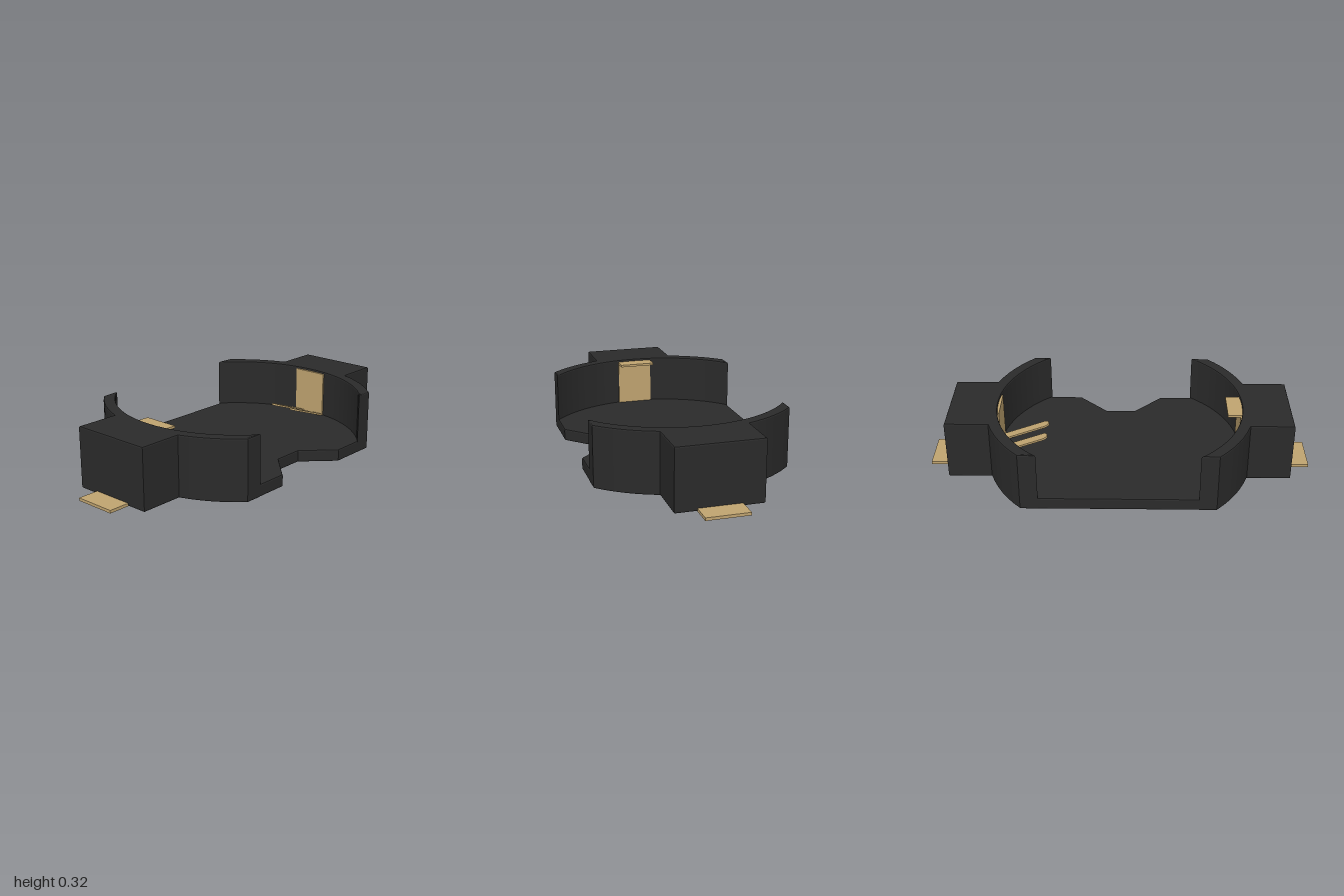
import * as THREE from 'three';

const HEIGHT = 0.32, FLOOR = 0.065, HALF = 0.5, R_IN = 0.64, R_OUT = 0.7;
const BOX_X = 0.89, BOX_Z = 0.22, BEVEL = 0.008;

const plastic = new THREE.MeshStandardMaterial({ color: 0x2a2a2a });
const brass = new THREE.MeshStandardMaterial({ color: 0xc0a470 });

// Points on a circle, listed from z = z0 to z = z1 on the +x side
function arc(r, z0, z1, n) {
  const a0 = Math.asin(z0 / r), a1 = Math.asin(z1 / r), pts = [];
  for (let i = 0; i <= n; i++) {
    const a = a0 + (a1 - a0) * i / n;
    pts.push(new THREE.Vector2(r * Math.cos(a), r * Math.sin(a)));
  }
  return pts;
}

// Raises a plan outline, drawn as (x, z), into a slab with softened edges
function slab(points, height) {
  const flipped = points.map(p => new THREE.Vector2(p.x, -p.y));
  const g = new THREE.ExtrudeGeometry(new THREE.Shape(flipped), {
    depth: height - 2 * BEVEL, bevelEnabled: true, bevelThickness: BEVEL,
    bevelSize: BEVEL, bevelOffset: -BEVEL, bevelSegments: 2,
  });
  g.rotateX(-Math.PI / 2);
  g.translate(0, BEVEL, 0);
  return g;
}

function add(parent, name, geometry, material) {
  const m = new THREE.Mesh(geometry, material);
  m.name = name;
  parent.add(m);
  return m;
}

// Box given by its lower and upper corners
function block(x0, x1, y0, y1, z0, z1) {
  const g = new THREE.BoxGeometry(x1 - x0, y1 - y0, z1 - z0);
  g.translate((x0 + x1) / 2, (y0 + y1) / 2, (z0 + z1) / 2);
  return g;
}

export function createModel() {
  const root = new THREE.Group();
  root.name = 'coinCellHolder';
  const V = (x, y) => new THREE.Vector2(x, y);

  // Floor with a notch in the front edge
  const side = arc(0.67, -HALF, HALF, 16);
  const floorPts = [
    ...side,
    V(0.23, HALF), V(0.08, 0.35), V(-0.08, 0.35), V(-0.23, HALF),
    ...side.map(p => V(-p.x, p.y)).reverse(),
  ];
  add(root, 'floor', slab(floorPts, FLOOR), plastic);

  // Curved end walls, each with a terminal block behind it
  const wallPts = [
    ...arc(R_OUT, -HALF, -BOX_Z, 6),
    V(BOX_X, -BOX_Z), V(BOX_X, BOX_Z),
    ...arc(R_OUT, BOX_Z, HALF, 6),
    ...arc(R_IN, HALF, -HALF, 24),
  ];
  const wall = slab(wallPts, HEIGHT);
  add(root, 'leftWall', wall, plastic);
  add(root, 'rightWall', wall, plastic).rotation.y = Math.PI;

  for (const s of [1, -1]) {
    const contact = new THREE.Group();
    contact.name = s > 0 ? 'leftContact' : 'rightContact';
    root.add(contact);
    if (s < 0) contact.rotation.y = Math.PI;

    // Solder tab and the plate against the wall
    add(contact, 'solderTab', block(0.87, 1, 0, 0.015, -0.11, 0.11), brass);
    add(contact, 'contactPlate', block(0.625, 0.645, 0.02, 0.308, -0.095, 0.095), brass);

    if (s < 0) {
      // Retaining lip over the cell
      add(contact, 'retainingLip', block(0.56, 0.63, 0.296, 0.308, -0.095, 0.095), brass);
    } else {
      // Two spring fingers rising inward from the floor
      const rise = Math.atan2(0.09, 0.25), length = 0.265, w = 0.0275;
      const shape = new THREE.Shape();
      shape.moveTo(0, -w);
      shape.lineTo(0, w);
      shape.lineTo(-length + w, w);
      shape.absarc(-length + w, 0, w, Math.PI / 2, Math.PI * 1.5, false);
      shape.closePath();
      const finger = new THREE.ExtrudeGeometry(shape, { depth: 0.01, bevelEnabled: false, curveSegments: 10 });
      finger.rotateX(-Math.PI / 2);
      for (const z of [-0.0625, 0.0625]) {
        const f = add(contact, 'springFinger', finger, brass);
        f.position.set(0.63, 0.06, z);
        f.rotation.z = -rise;
      }
    }
  }
  return root;
}
